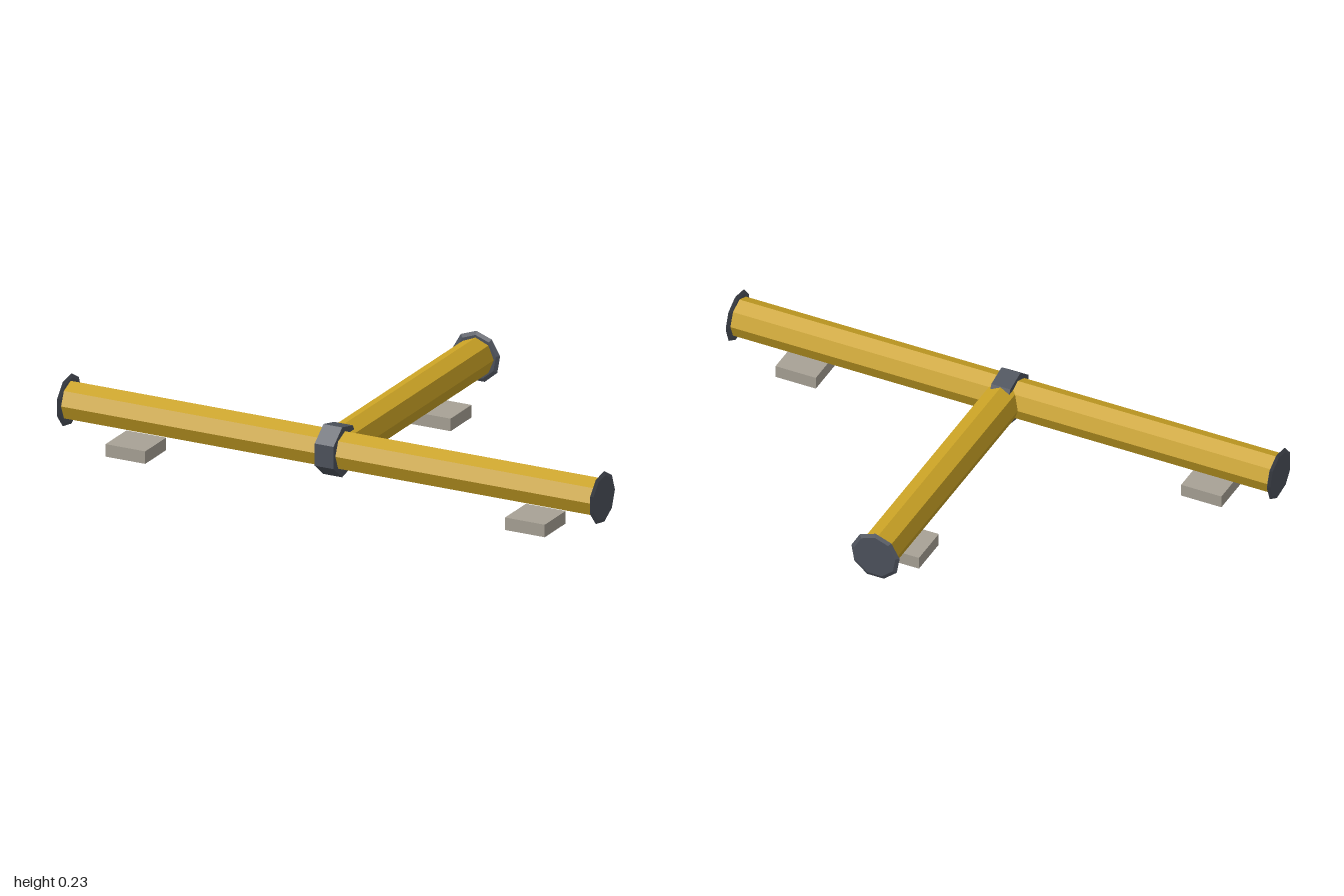
import * as THREE from 'three';

const AXIS_Y = 0.145; // height of the pipe centre line
const MAIN_Z = 0.459; // depth of the main pipe
const PIPE_R = 0.068;
const RIM_R = 0.09;

function material(name, color) {
  const m = new THREE.MeshStandardMaterial({ color, flatShading: true });
  m.name = name;
  return m;
}

export function createModel() {
  const gold = material('gold pipe paint', 0xcba325);
  const steel = material('dark steel', 0x4e535d);
  const concrete = material('concrete', 0xa8a296);
  const model = new THREE.Group();
  model.name = 'pipeJunction';

  const add = (name, geometry, mat, x, y, z, parent = model) => {
    const mesh = new THREE.Mesh(geometry, mat);
    mesh.name = name;
    mesh.position.set(x, y, z);
    parent.add(mesh);
    return mesh;
  };

  // Cylinder laid along x or z
  const lay = (geometry, axis) => (axis === 'x'
    ? geometry.rotateY(Math.PI).rotateZ(Math.PI / 2)
    : geometry.rotateX(-Math.PI / 2));
  const tube = (rTop, rBottom, length, sides, axis) =>
    lay(new THREE.CylinderGeometry(rTop, rBottom, length, sides), axis);

  // Main pipe and the branch running back from its middle
  add('mainPipe', tube(PIPE_R, PIPE_R, 1.985, 8, 'x'), gold, 0, AXIS_Y, MAIN_Z);
  const branchEnd = -0.534;
  add('branchPipe', tube(PIPE_R, PIPE_R, MAIN_Z - branchEnd, 8, 'z'), gold,
    0, AXIS_Y, (MAIN_Z + branchEnd) / 2);

  // Collar around the junction
  add('junctionCollar', tube(RIM_R, RIM_R, 0.07, 7, 'x'), steel, 0, AXIS_Y, MAIN_Z);

  // Thin end caps, bevelled on both faces
  const endCap = (name, axis, x, z) => {
    const cap = new THREE.Group();
    cap.name = name;
    cap.position.set(x, AXIS_Y, z);
    const half = 0.006;
    for (const side of [-1, 1]) {
      const top = side > 0 ? 0.077 : RIM_R;
      const bottom = side > 0 ? RIM_R : 0.077;
      const g = new THREE.CylinderGeometry(top, bottom, half, 9);
      g.translate(0, side * half / 2, 0);
      add('capBevel', lay(g, axis), steel, 0, 0, 0, cap);
    }
    model.add(cap);
  };
  endCap('leftEndCap', 'x', 0.994, MAIN_Z);
  endCap('rightEndCap', 'x', -0.994, MAIN_Z);
  endCap('branchEndCap', 'z', 0, -0.534);

  // Support blocks on the ground
  for (const [name, x, z] of [
    ['leftBlock', 0.745, MAIN_Z],
    ['rightBlock', -0.745, MAIN_Z],
    ['branchBlock', 0, -0.286],
  ]) add(name, new THREE.BoxGeometry(0.148, 0.044, 0.148), concrete, x, 0.022, z);

  return model;
}
